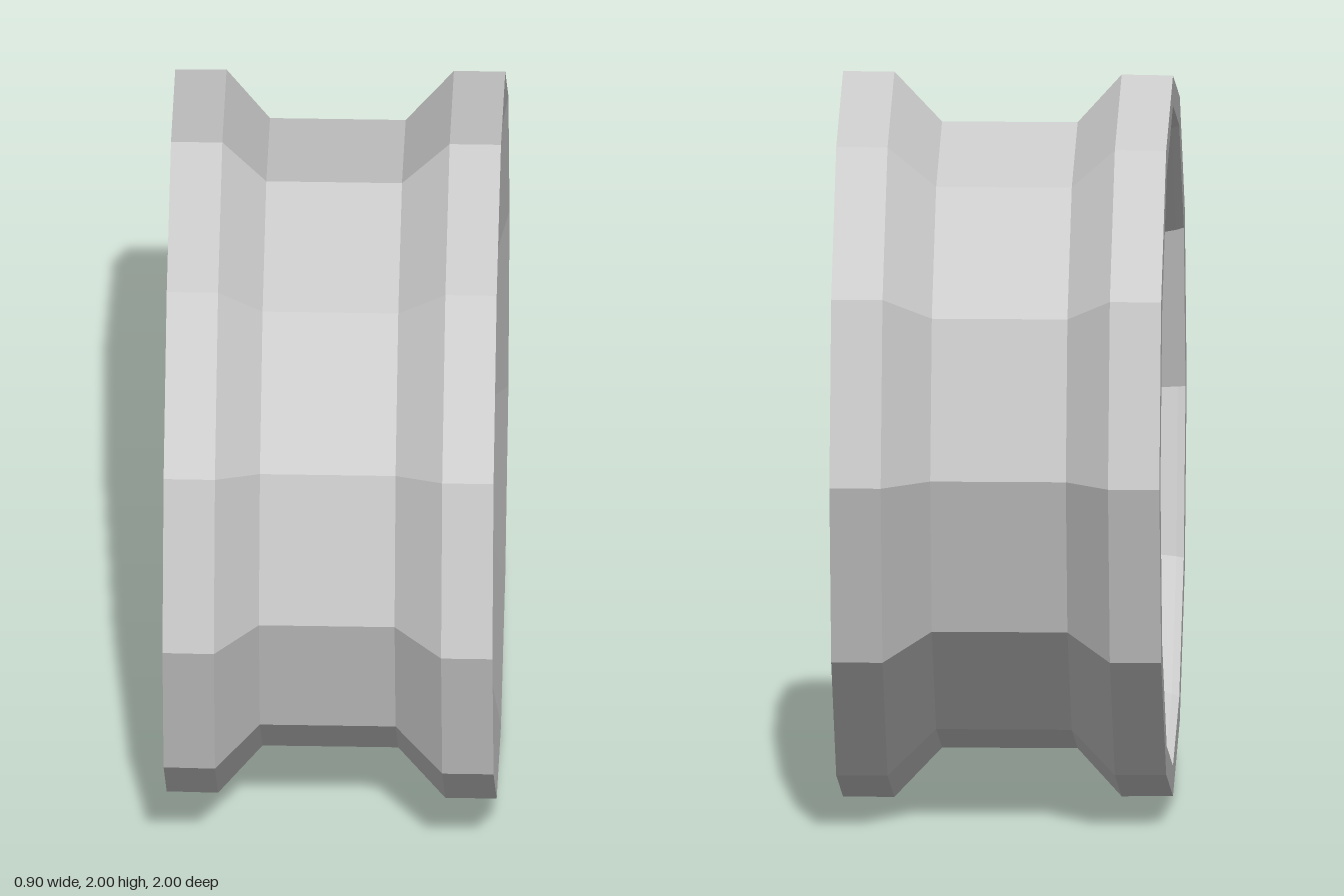
import * as THREE from 'three';

const material = new THREE.MeshStandardMaterial({ color: 0xcccccc, flatShading: true, side: THREE.DoubleSide });

function addMesh(parent, name, geometry) {
  const mesh = new THREE.Mesh(geometry, material);
  mesh.name = name;
  parent.add(mesh);
  return mesh;
}

// Faceted ring or solid turned around the axle (x); points are [x, radius]
function turned(points, sides) {
  const profile = points.map(([x, r]) => new THREE.Vector2(r, x));
  return new THREE.LatheGeometry(profile, sides).rotateZ(-Math.PI / 2);
}

// Bent spoke pointing up: slopes outward from the hub, then runs flat to the rim
function spokeGeometry() {
  const side = [
    [0.0, 0.22], [-0.07, 0.22], [-0.085, 0.33], [-0.27, 0.52], [-0.305, 0.78],
    [-0.3, 0.82], [-0.22, 0.81], [-0.15, 0.77], [-0.19, 0.725], [-0.16, 0.56], [0.0, 0.38],
  ];
  const shape = new THREE.Shape(side.map(([x, y]) => new THREE.Vector2(x, y)));
  const depth = 0.18;
  return new THREE.ExtrudeGeometry(shape, { depth, bevelEnabled: false }).translate(0, 0, -depth / 2);
}

// Five copies of a part around the axle, the first at the given angle from the top
function fiveOf(parent, name, startAngle, geometry) {
  for (let i = 0; i < 5; i++) {
    addMesh(parent, name, geometry).rotation.x = startAngle + (i * Math.PI * 2) / 5;
  }
}

export function createModel() {
  const model = new THREE.Group();
  model.name = 'wheel';
  const wheel = new THREE.Group();
  wheel.name = 'wheelAssembly';
  wheel.position.y = 1;
  model.add(wheel);

  // Rim: outer drop-centre channel, then the inside from the inner to the outer side
  addMesh(wheel, 'rim', turned([
    [-0.45, 0.993], [-0.31, 0.995], [-0.19, 0.863], [0.18, 0.863], [0.31, 1], [0.45, 1],
    [0.41, 0.76], [-0.21, 0.76], [-0.23, 0.83], [-0.33, 0.84], [-0.36, 0.88],
    [-0.43, 0.9], [-0.45, 0.91], [-0.45, 0.993],
  ], 12));

  // Brake disc and the drum on the inner side
  addMesh(wheel, 'brakeDisc', turned([[0, 0], [0, 0.605], [0.04, 0.605], [0.04, 0]], 12));
  addMesh(wheel, 'drum', turned([[0.02, 0.33], [0.28, 0.33], [0.41, 0.255], [0.41, 0]], 8));

  // Hub plate carrying the nuts
  addMesh(wheel, 'hub', turned([[-0.12, 0], [-0.14, 0.12], [-0.14, 0.24], [-0.09, 0.32], [0.02, 0.33]], 10));

  fiveOf(wheel, 'spoke', 0, spokeGeometry());

  // Wheel nuts sit between the spokes
  const gap = Math.PI / 5;
  const nut = new THREE.CylinderGeometry(0.052, 0.052, 0.08, 6).rotateZ(Math.PI / 2);
  fiveOf(wheel, 'wheelNut', gap, nut.translate(-0.165, 0.185, 0));

  // Three small rim bolts in each gap between spokes
  const bolt = new THREE.BoxGeometry(0.04, 0.034, 0.034).translate(-0.225, 0.785, 0);
  for (const offset of [-1, 0, 1]) {
    fiveOf(wheel, 'rimBolt', gap + (offset * Math.PI) / 12, bolt);
  }

  return model;
}
